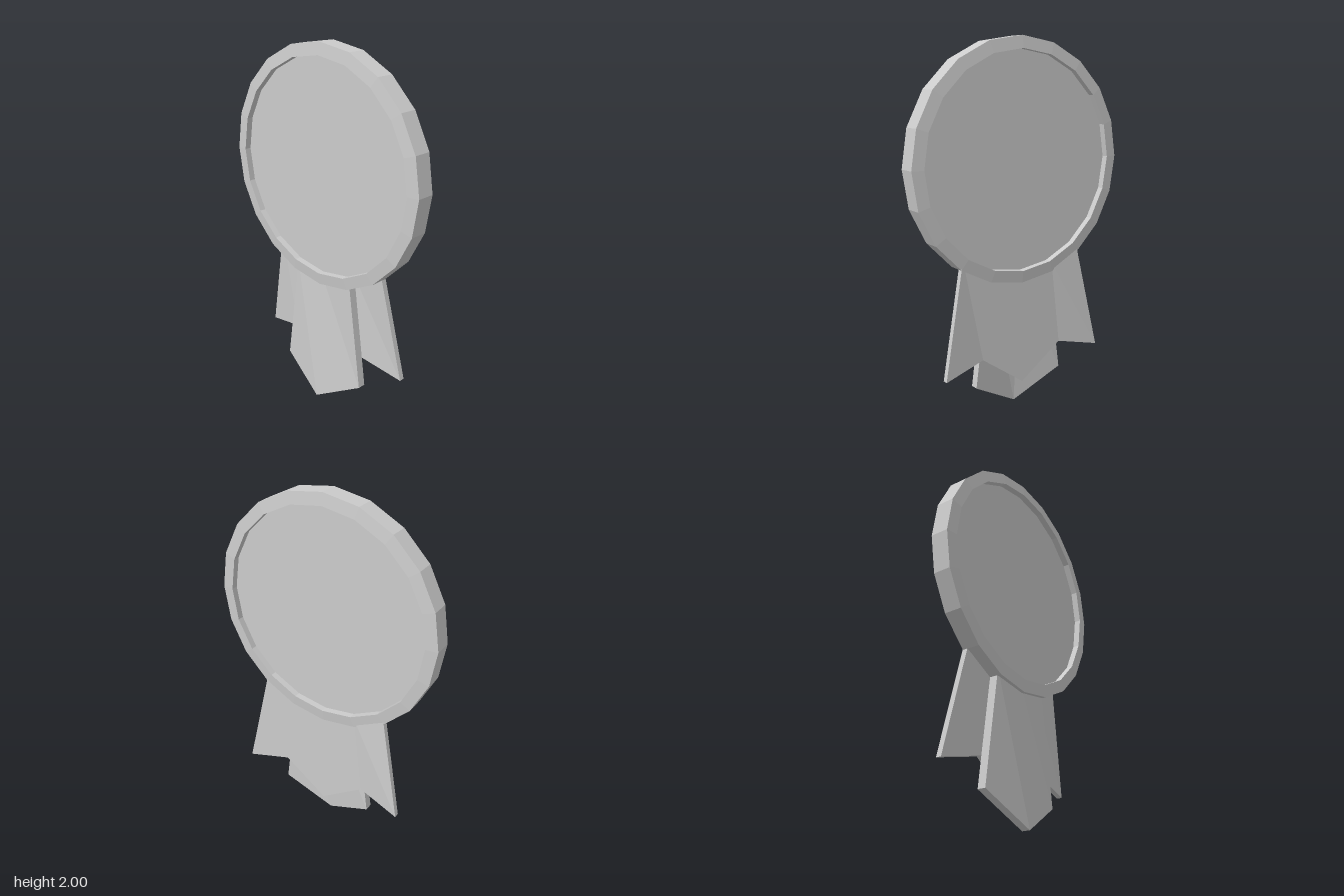
import * as THREE from 'three';

const material = () => new THREE.MeshStandardMaterial({ color: 0xcccccc, flatShading: true });

// Folded ribbon of constant thickness. Each column is a fold line, ordered by
// rising x: [topX, topY, topZ, bottomX, bottomY, bottomZ], with z on the front face.
function ribbon(name, halfColumns, thickness) {
  const mirrored = halfColumns.slice(1).reverse()
    .map(([a, b, c, d, e, f]) => [-a, b, c, -d, e, f]);
  const columns = [...mirrored, ...halfColumns];
  const positions = [];
  const index = [];
  for (const [tx, ty, tz, bx, by, bz] of columns) {
    positions.push(tx, ty, tz, bx, by, bz, bx, by, bz - thickness, tx, ty, tz - thickness);
  }
  const quad = (a, b, c, d) => index.push(a, b, c, a, c, d);
  const last = columns.length - 1;
  for (let i = 0; i < last; i++) {
    for (let k = 0; k < 4; k++) {
      const n = (k + 1) % 4;
      quad(i * 4 + k, i * 4 + n, i * 4 + 4 + n, i * 4 + 4 + k);
    }
  }
  quad(3, 2, 1, 0);
  quad(last * 4, last * 4 + 1, last * 4 + 2, last * 4 + 3);
  const indexed = new THREE.BufferGeometry();
  indexed.setAttribute('position', new THREE.Float32BufferAttribute(positions, 3));
  indexed.setIndex(index);
  const geometry = indexed.toNonIndexed();
  geometry.computeVertexNormals();
  const mesh = new THREE.Mesh(geometry, material());
  mesh.name = name;
  return mesh;
}

export function createModel() {
  const group = new THREE.Group();
  group.name = 'awardRosette';

  // Round medallion: raised sloping rim and a recessed panel on both sides
  const profile = [
    [0, -0.022], [0.582, -0.022], [0.582, -0.058], [0.647, -0.05],
    [0.647, 0.05], [0.582, 0.058], [0.582, 0.022], [0, 0.022],
  ].map(([r, h]) => new THREE.Vector2(r, h));
  const disc = new THREE.LatheGeometry(profile, 20);
  disc.rotateX(Math.PI / 2);
  const medallion = new THREE.Mesh(disc, material());
  medallion.name = 'medallion';
  medallion.position.set(0, 1.353, 0.004);
  group.add(medallion);

  // Front tail: pointed, with a central ridge swelling forward at the tip
  group.add(ribbon('frontTail', [
    [0, 0.75, 0.033, 0, 0, 0.082],
    [0.194, 0.78, 0.03, 0.28, 0.155, 0.03],
  ], 0.045));

  // Back tails: centre point with two side tails bent backward
  group.add(ribbon('backTails', [
    [0, 0.75, -0.015, 0, 0.14, -0.015],
    [0.2, 0.785, -0.015, 0.255, 0.32, -0.015],
    [0.37, 0.88, -0.015, 0.5, 0.265, -0.052],
  ], 0.03));

  return group;
}
